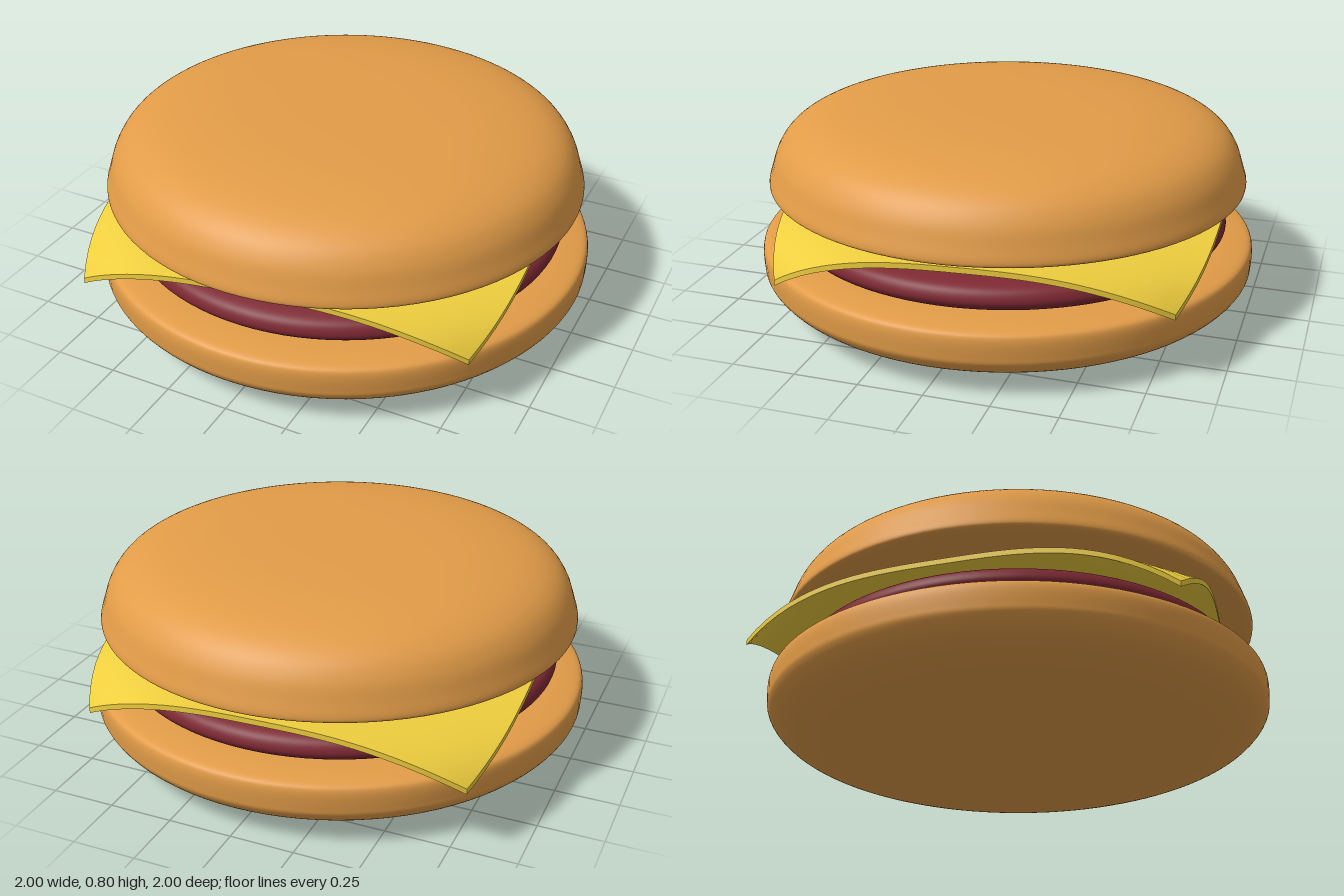
import * as THREE from 'three';

const BUN = 0xe29c48, PATTY = 0x7e2833, CHEESE = 0xeecd3e;

function addMesh(group, name, geometry, color) {
  const mesh = new THREE.Mesh(geometry, new THREE.MeshStandardMaterial({ color }));
  mesh.name = name;
  group.add(mesh);
}

// Smooth round body from a bottom-to-top profile of [radius, height]
function roundBody(profile) {
  const curve = new THREE.CatmullRomCurve3(
    profile.map(([r, y]) => new THREE.Vector3(r, y, 0)), false, 'centripetal');
  const points = curve.getPoints(profile.length * 5)
    .map(p => new THREE.Vector2(Math.max(0, p.x), p.y));
  return new THREE.LatheGeometry(points, 96);
}

// Square slice, bowed out along its sides, with corners drooping over the patty
function cheeseSlice() {
  const thickness = 0.022;
  // corner positions [x, droop, z], indexed by side of x, then side of z
  const corners = [
    [[-0.81, 0.16, -0.78], [-0.71, 0.17, 0.85]],
    [[0.68, 0.15, -0.83], [0.81, 0.17, 0.66]],
  ];
  const mix = (i, s, t) => THREE.MathUtils.lerp(
    THREE.MathUtils.lerp(corners[0][0][i], corners[0][1][i], t),
    THREE.MathUtils.lerp(corners[1][0][i], corners[1][1][i], t), s);
  const geometry = new THREE.BoxGeometry(2, 1, 2, 32, 1, 32);
  const pos = geometry.attributes.position;
  for (let i = 0; i < pos.count; i++) {
    const u = pos.getX(i), v = pos.getZ(i), side = pos.getY(i);
    const s = (u + 1) / 2, t = (v + 1) / 2;
    const x = mix(0, s, t) + 0.1 * u * (1 - v ** 4);
    const z = mix(2, s, t) + 0.085 * v * (1 - u ** 4);
    const droop = mix(1, s, t) * Math.abs(u * v) ** 3;
    const y = 0.442 - 0.014 * Math.max(u * u, v * v) - droop;
    pos.setXYZ(i, x, y + side * thickness, z);
  }
  geometry.computeVertexNormals();
  return geometry;
}

export function createModel() {
  const group = new THREE.Group();
  group.name = 'burger';

  addMesh(group, 'bottomBun', roundBody([
    [0, 0], [0.4, 0.004], [0.66, 0.018], [0.85, 0.048], [0.95, 0.09], [0.995, 0.14],
    [1, 0.17], [1, 0.235], [0.99, 0.255], [0.94, 0.269], [0.8, 0.278], [0.4, 0.28], [0, 0.28],
  ]), BUN);

  addMesh(group, 'patty', roundBody([
    [0, 0.278], [0.8, 0.279], [0.86, 0.288], [0.888, 0.315], [0.89, 0.335],
    [0.875, 0.365], [0.83, 0.384], [0.7, 0.397], [0.4, 0.412], [0, 0.42],
  ]), PATTY);

  addMesh(group, 'cheese', cheeseSlice(), CHEESE);

  addMesh(group, 'topBun', roundBody([
    [0, 0.46], [0.5, 0.462], [0.75, 0.469], [0.9, 0.482], [0.955, 0.494], [0.96, 0.506],
    [0.945, 0.56], [0.92, 0.63], [0.875, 0.69], [0.79, 0.739], [0.62, 0.776],
    [0.35, 0.794], [0, 0.8],
  ]), BUN);

  return group;
}
